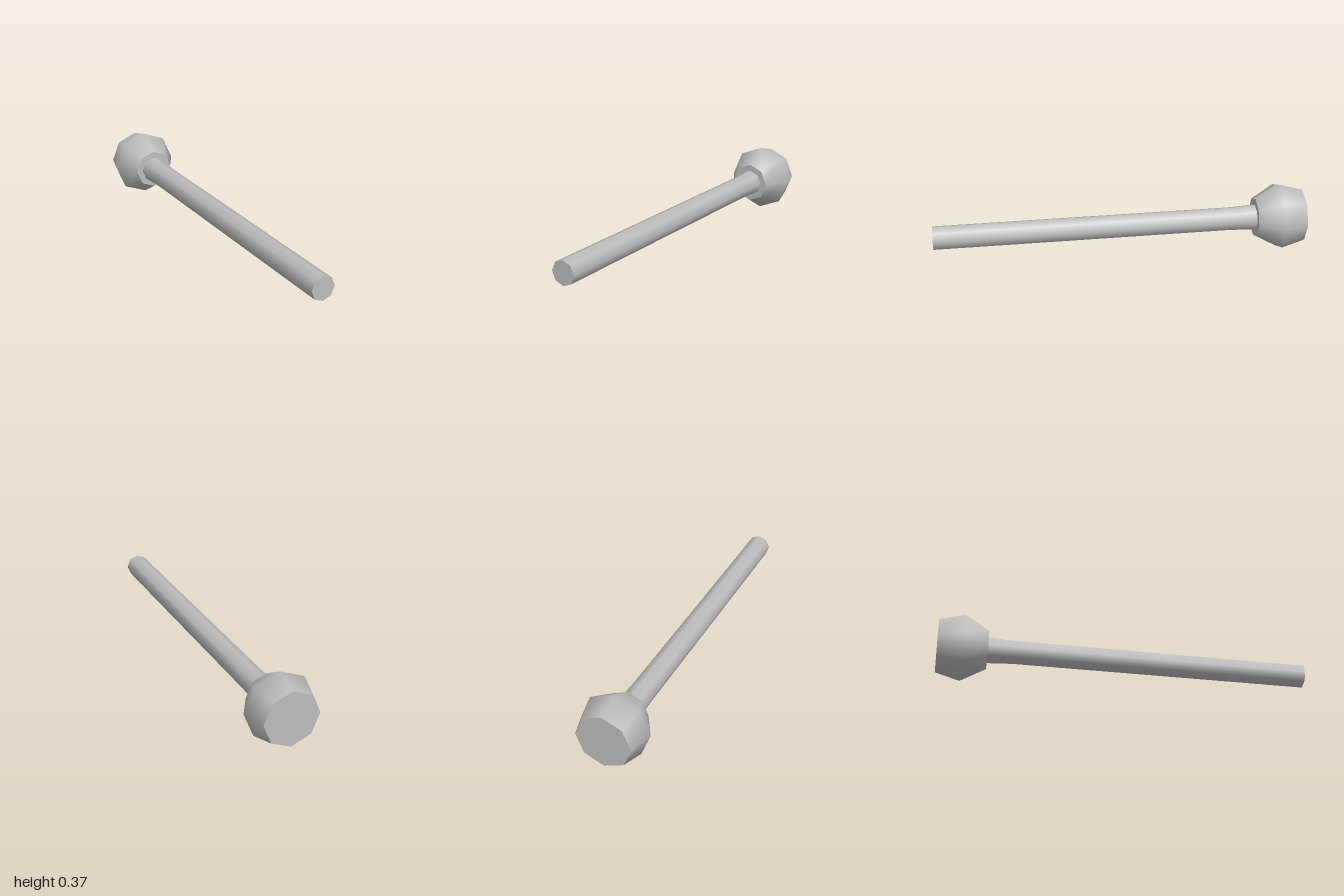
import * as THREE from 'three';

const SIDES = 8;
const AXIS_HEIGHT = 0.185;

export function createModel() {
  const group = new THREE.Group();
  const gray = new THREE.MeshStandardMaterial({ color: 0xbcbcbc });
  gray.name = 'gray';

  // Octagonal surface of revolution along z; profile is [radius, z] from back to front
  function turned(name, profile) {
    const points = profile.map(([r, z]) => new THREE.Vector2(r, z));
    const geometry = new THREE.LatheGeometry(points, SIDES);
    geometry.rotateX(Math.PI / 2);
    const mesh = new THREE.Mesh(geometry, gray);
    mesh.name = name;
    mesh.position.y = AXIS_HEIGHT;
    group.add(mesh);
  }

  // Long shaft, flaring slightly where it meets the head
  turned('shaft', [[0.073, -0.74], [0.067, -0.65], [0.065, -0.58], [0.065, 1]]);
  turned('shaftEnd', [[0.065, 1], [0, 1]]);

  // Bulbous head with flat ends
  turned('head', [[0.148, -1], [0.185, -0.87], [0.109, -0.74]]);
  turned('headBack', [[0, -1], [0.148, -1]]);
  turned('headCollar', [[0.109, -0.74], [0, -0.74]]);

  return group;
}
